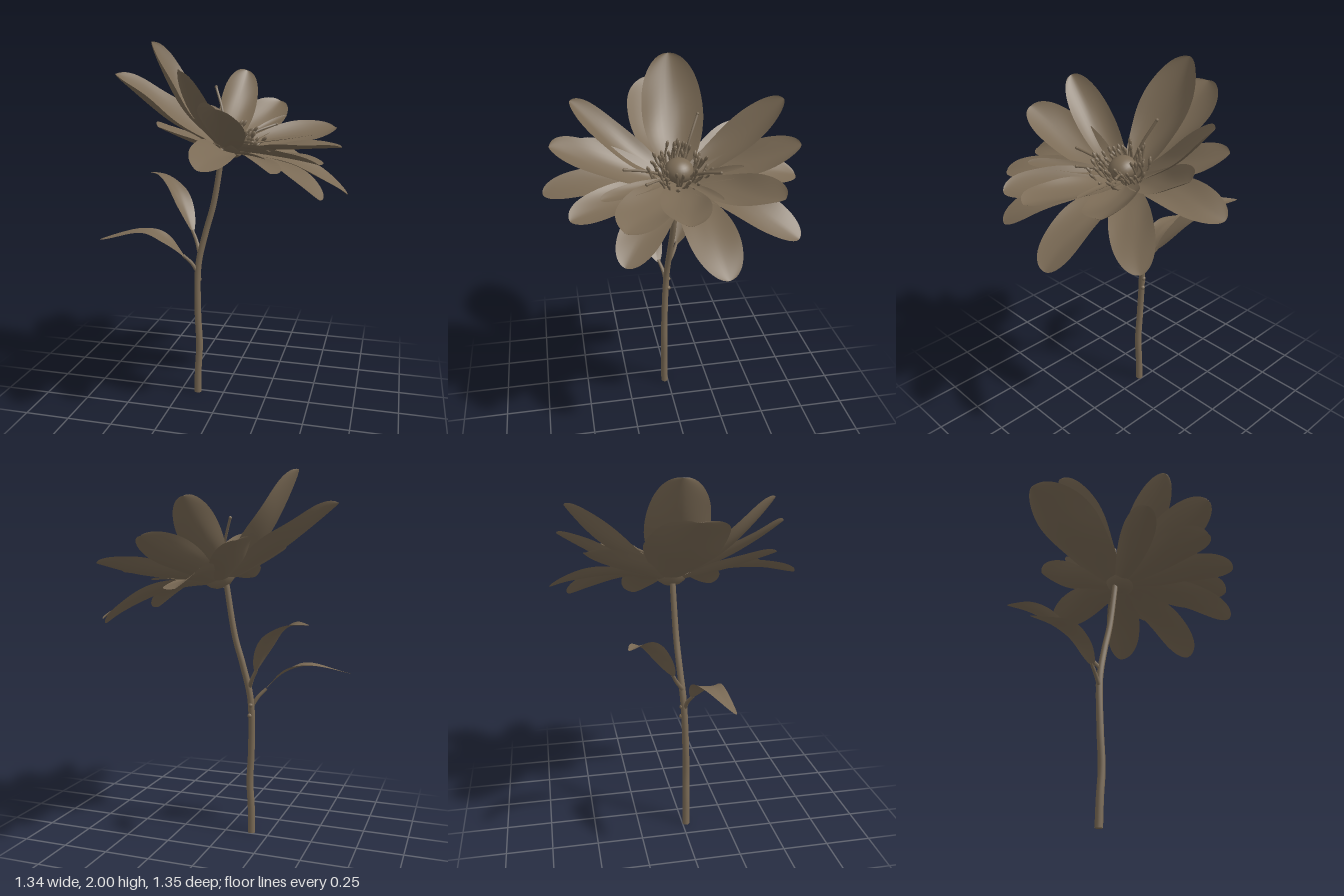
import * as THREE from 'three';

const V = (x, y, z) => new THREE.Vector3(x, y, z);
const brown = new THREE.MeshStandardMaterial({ color: 0x7a6a55, side: THREE.DoubleSide });
brown.name = 'warm brown';

const AXIS = V(0.4, 0.92, 0).normalize(); // the bloom leans towards +x
const HEART = V(0.015, 1.44, -0.03);

function add(group, name, geometry) {
  const mesh = new THREE.Mesh(geometry, brown);
  mesh.name = name;
  group.add(mesh);
  return mesh;
}

// Thin cupped blade swept along a curve; profile(t) gives its half width
function blade(curve, up, profile, cup, wave) {
  const NU = 28, NV = 12, pos = [], idx = [];
  for (let i = 0; i <= NU; i++) {
    const t = Math.sin((i / NU) * Math.PI / 2);
    const p = curve.getPoint(t), tan = curve.getTangent(t);
    const side = up.clone().cross(tan).normalize();
    const normal = tan.clone().cross(side).normalize();
    const w = profile(t);
    for (let j = 0; j <= NV; j++) {
      const v = (j / NV) * 2 - 1;
      const lift = cup * w * v * v + wave * w * Math.sin(t * 9 + v * 2) * Math.abs(v);
      const q = p.clone().addScaledVector(side, w * v).addScaledVector(normal, lift);
      pos.push(q.x, q.y, q.z);
      if (i < NU && j < NV) {
        const a = i * (NV + 1) + j, b = a + NV + 1;
        idx.push(a, a + 1, b, a + 1, b + 1, b);
      }
    }
  }
  const g = new THREE.BufferGeometry();
  g.setAttribute('position', new THREE.Float32BufferAttribute(pos, 3));
  g.setIndex(idx);
  g.computeVertexNormals();
  return g;
}

// Narrow foot, widest past the middle, blunt rounded end
const petalProfile = (W, peak) => t => {
  if (t > peak) return W * Math.sqrt(Math.max(0, 1 - ((t - peak) / (1 - peak)) ** 2.3));
  return W * (0.3 + 0.7 * Math.sin((t / peak) * Math.PI / 2));
};

// Tapered tube of given end radii along a curve
function taperedTube(curve, segments, r0, r1, sides) {
  const g = new THREE.TubeGeometry(curve, segments, 1, sides, false);
  const p = g.attributes.position, ring = sides + 1;
  for (let i = 0; i < p.count; i++) {
    const t = Math.floor(i / ring) / segments, c = curve.getPointAt(t);
    const q = V().fromBufferAttribute(p, i).sub(c).multiplyScalar(r0 + (r1 - r0) * t).add(c);
    p.setXYZ(i, q.x, q.y, q.z);
  }
  return g;
}

// Ring of petals; each entry is tip x, y, z, half width, bulge along the bloom axis
function addPetals(model, name, rise, petals) {
  for (const [x, y, z, w, bulge] of petals) {
    const tip = V(x, y, z), root = HEART.clone().addScaledVector(AXIS, rise);
    const out = tip.clone().sub(root).projectOnPlane(AXIS).normalize();
    root.addScaledVector(out, 0.03);
    const mid = root.clone().lerp(tip, 0.5).addScaledVector(AXIS, bulge * 2);
    const path = new THREE.QuadraticBezierCurve3(root, mid, tip);
    // upright petals are cupped more, broad ones are widest nearer the middle
    const cup = 0.27 - 1.6 * bulge, peak = w > 0.15 ? 0.58 : 0.63;
    add(model, name, blade(path, AXIS, petalProfile(w, peak), cup, 0.05));
  }
}

export function createModel() {
  const model = new THREE.Group();
  model.name = 'flower';

  // Stem with a cut foot
  const stem = new THREE.CatmullRomCurve3([
    V(-0.15, 0.005, 0.02), V(-0.147, 0.15, 0.022), V(-0.138, 0.3, 0.022), V(-0.147, 0.5, 0.018),
    V(-0.145, 0.78, 0.005), V(-0.105, 0.97, -0.01), V(-0.062, 1.13, -0.02), V(-0.015, 1.42, -0.03)]);
  add(model, 'stem', taperedTube(stem, 60, 0.021, 0.016, 12));
  const foot = add(model, 'stemFoot', new THREE.CircleGeometry(0.021, 12));
  foot.rotation.x = Math.PI / 2;
  foot.position.set(-0.15, 0.005, 0.02);
  [V(-0.143, 0.69, -0.006), V(-0.148, 0.75, -0.006)].forEach(p => {
    add(model, 'stemBump', new THREE.SphereGeometry(0.013, 10, 8)).position.copy(p);
  });

  // Leaves: stalk points, blade points, half width, up, cup, tip bluntness
  const leaves = [
    [[V(-0.145, 0.73, 0.01), V(-0.18, 0.79, 0.02), V(-0.225, 0.84, 0.04)],
      [V(-0.215, 0.83, 0.04), V(-0.31, 0.925, 0.065), V(-0.44, 0.975, 0.09), V(-0.675, 0.93, 0.152)],
      0.068, V(-0.1, 1, 0.1), 0.12, 4],
    [[V(-0.14, 0.85, 0), V(-0.17, 0.91, -0.04), V(-0.2, 0.96, -0.065)],
      [V(-0.195, 0.95, -0.06), V(-0.26, 1.06, -0.13), V(-0.34, 1.16, -0.2), V(-0.44, 1.225, -0.27), V(-0.545, 1.238, -0.335)],
      0.065, V(0.4, 1, 0.1), 0.25, 12]];
  for (const [stalk, path, w, up, cup, blunt] of leaves) {
    add(model, 'leafStalk', taperedTube(new THREE.CatmullRomCurve3(stalk), 12, 0.012, 0.009, 8));
    const shape = t => w * (0.12 + 0.88 * Math.sin(Math.PI * Math.pow(t, 0.8) * (1 - 0.6 / blunt)))
      * Math.sqrt(Math.max(0, 1 - t ** blunt));
    add(model, 'leaf', blade(new THREE.CatmullRomCurve3(path), up.normalize(), shape, cup, 0.08));
  }

  addPetals(model, 'outerPetal', -0.02, [
    [0.0, 1.42, -0.675, 0.11, 0.05], [0.44, 1.26, -0.56, 0.11, 0.06], [0.66, 1.19, -0.15, 0.125, 0.06],
    [0.56, 1.25, 0.32, 0.11, 0.06], [0.355, 1.41, 0.55, 0.1, 0.03], [0.045, 1.43, 0.67, 0.1, 0.05],
    [-0.2, 1.6, 0.48, 0.09, -0.01], [-0.235, 1.64, -0.495, 0.11, -0.01], [-0.615, 1.83, -0.02, 0.205, -0.025]]);
  addPetals(model, 'innerPetal', 0, [
    [0.2, 1.66, -0.62, 0.115, -0.03], [0.55, 1.53, -0.43, 0.13, -0.02], [0.63, 1.47, 0.03, 0.12, 0],
    [0.55, 1.42, 0.31, 0.125, 0.01], [0.12, 1.7, 0.62, 0.125, -0.035], [-0.08, 1.86, 0.5, 0.1, -0.06],
    [0.0, 1.84, -0.58, 0.105, -0.05], [-0.415, 2.0, -0.055, 0.165, -0.065]]);
  addPetals(model, 'slimPetal', 0.025, [
    [0.32, 1.49, 0.4, 0.045, 0], [0.46, 1.51, -0.16, 0.026, 0], [0.29, 1.6, -0.3, 0.026, 0]]);

  // Bloom centre, built upright and tilted onto the bloom axis
  const UP = V(0, 1, 0), centre = new THREE.Group();
  centre.name = 'bloomCentre';
  centre.position.copy(HEART);
  centre.quaternion.setFromUnitVectors(UP, AXIS);
  model.add(centre);
  const cupPoints = [[0.012, -0.045], [0.04, -0.04], [0.07, -0.02], [0.085, 0]].map(p => new THREE.Vector2(...p));
  add(centre, 'receptacle', new THREE.LatheGeometry(cupPoints, 24));
  const dome = add(centre, 'pistilDome', new THREE.SphereGeometry(0.075, 24, 16));
  dome.scale.y = 0.8;
  dome.position.y = 0.07;

  // Stamens with long club ends leaning outwards, in three uneven rings
  for (let i = 0; i < 54; i++) {
    const a = i * 2.39996, k = i % 3, wob = Math.sin(i * 5.3);
    const r = 0.1 + k * 0.028 + wob * 0.012, h = 0.125 - k * 0.015 + wob * 0.025;
    const at = (rad, y, turn) => V(Math.cos(a + turn) * rad, y, Math.sin(a + turn) * rad);
    const elbow = at(r * 0.85, h * 0.45, 0), end = at(r, h, wob * 0.15);
    const curve = new THREE.CatmullRomCurve3([at(0.055, 0, 0), elbow, end]);
    add(centre, 'stamen', taperedTube(curve, 8, 0.005, 0.006, 6));
    const tip = add(centre, 'stamenTip', new THREE.SphereGeometry(0.009, 8, 6));
    tip.scale.y = 2.2;
    tip.quaternion.setFromUnitVectors(UP, end.clone().sub(elbow).normalize());
    tip.position.copy(end);
  }

  // A few long curling filaments
  [V(-0.08, 1.76, -0.15), V(0.1, 1.55, 0.26), V(0.25, 1.56, -0.2), V(0.19, 1.5, 0.16)].forEach(tip => {
    const mid = HEART.clone().lerp(tip, 0.55).addScaledVector(AXIS, 0.02);
    const path = new THREE.CatmullRomCurve3([HEART.clone(), mid, tip]);
    add(model, 'filament', taperedTube(path, 14, 0.008, 0.007, 6));
    add(model, 'filamentTip', new THREE.SphereGeometry(0.009, 8, 6)).position.copy(tip);
  });
  return model;
}
